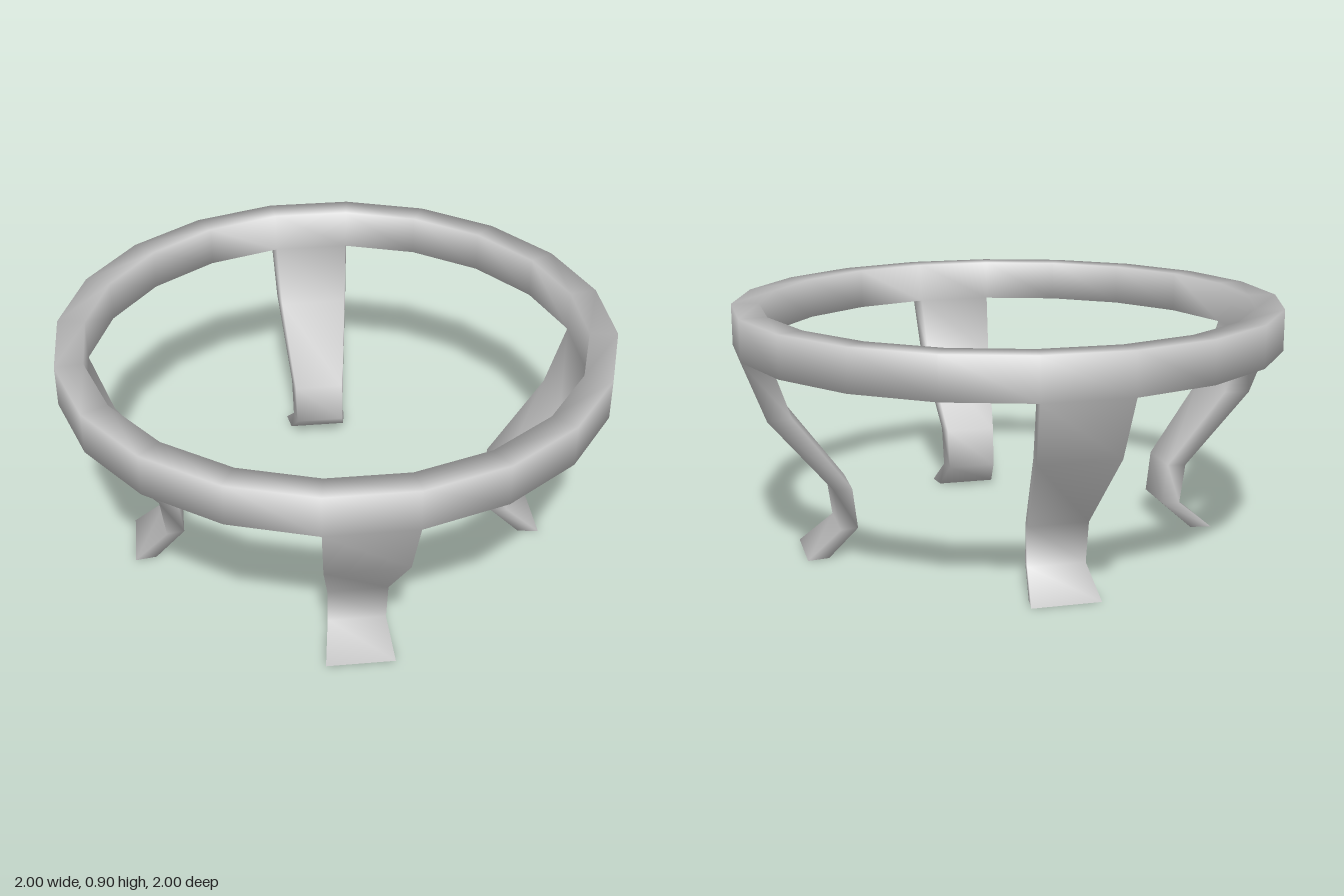
import * as THREE from 'three';

const SIDES = 20, OUTER = 1, INNER = 0.9, TOP = 0.9, BOTTOM = 0.75;
const LEG_SEGMENTS = [2, 7, 12, 17];
// leg sections below the ring: [height, scale of the ring radius]
const LEG = [[0.53, 0.915], [0.25, 0.68], [0.1, 0.66], [0, 0.785]];

export function createModel() {
  const positions = [];
  const addPoint = (radius, y, i) => {
    const a = (i / SIDES) * Math.PI * 2;
    positions.push(radius * Math.cos(a), y, radius * Math.sin(a));
    return positions.length / 3 - 1;
  };
  const quad = (list, a, b, c, d) => list.push(a, b, c, a, c, d);

  // Ring of rectangular section: outer bottom, outer top, inner top, inner bottom
  const corners = [];
  for (let i = 0; i < SIDES; i++) {
    corners.push([[OUTER, BOTTOM], [OUTER, TOP], [INNER, TOP], [INNER, BOTTOM]]
      .map(([r, y]) => addPoint(r, y, i)));
  }
  const ring = [];
  for (let i = 0; i < SIDES; i++) {
    const p = corners[i], q = corners[(i + 1) % SIDES];
    for (let k = 0; k < 4; k++) {
      if (k === 3 && LEG_SEGMENTS.includes(i)) continue; // a leg grows from here
      const n = (k + 1) % 4;
      quad(ring, p[k], p[n], q[n], q[k]);
    }
  }

  // Each leg continues one bottom facet of the ring, scaled in and out on the way down
  const legs = LEG_SEGMENTS.map((i) => {
    const faces = [];
    const p = corners[i], q = corners[i + 1];
    let high = [p[0], q[0], q[3], p[3]];
    for (const [y, s] of LEG) {
      const low = [addPoint(OUTER * s, y, i), addPoint(OUTER * s, y, i + 1),
        addPoint(INNER * s, y, i + 1), addPoint(INNER * s, y, i)];
      for (let k = 0; k < 4; k++) {
        const n = (k + 1) % 4;
        quad(faces, low[k], high[k], high[n], low[n]);
      }
      high = low;
    }
    quad(faces, ...high); // sole
    return faces;
  });

  // Smooth normals are shared across the joints, then the parts are split
  const whole = new THREE.BufferGeometry();
  whole.setAttribute('position', new THREE.Float32BufferAttribute(positions, 3));
  whole.setIndex([...ring, ...legs.flat()]);
  whole.computeVertexNormals();

  const material = new THREE.MeshStandardMaterial({ color: 0xcccccc });
  const group = new THREE.Group();
  group.name = 'ringStand';
  const addPart = (name, faces) => {
    const part = whole.clone();
    part.setIndex(faces);
    const mesh = new THREE.Mesh(part.toNonIndexed(), material);
    mesh.name = name;
    group.add(mesh);
  };
  addPart('ring', ring);
  ['frontLeftLeg', 'frontRightLeg', 'backRightLeg', 'backLeftLeg']
    .forEach((name, k) => addPart(name, legs[k]));
  return group;
}
